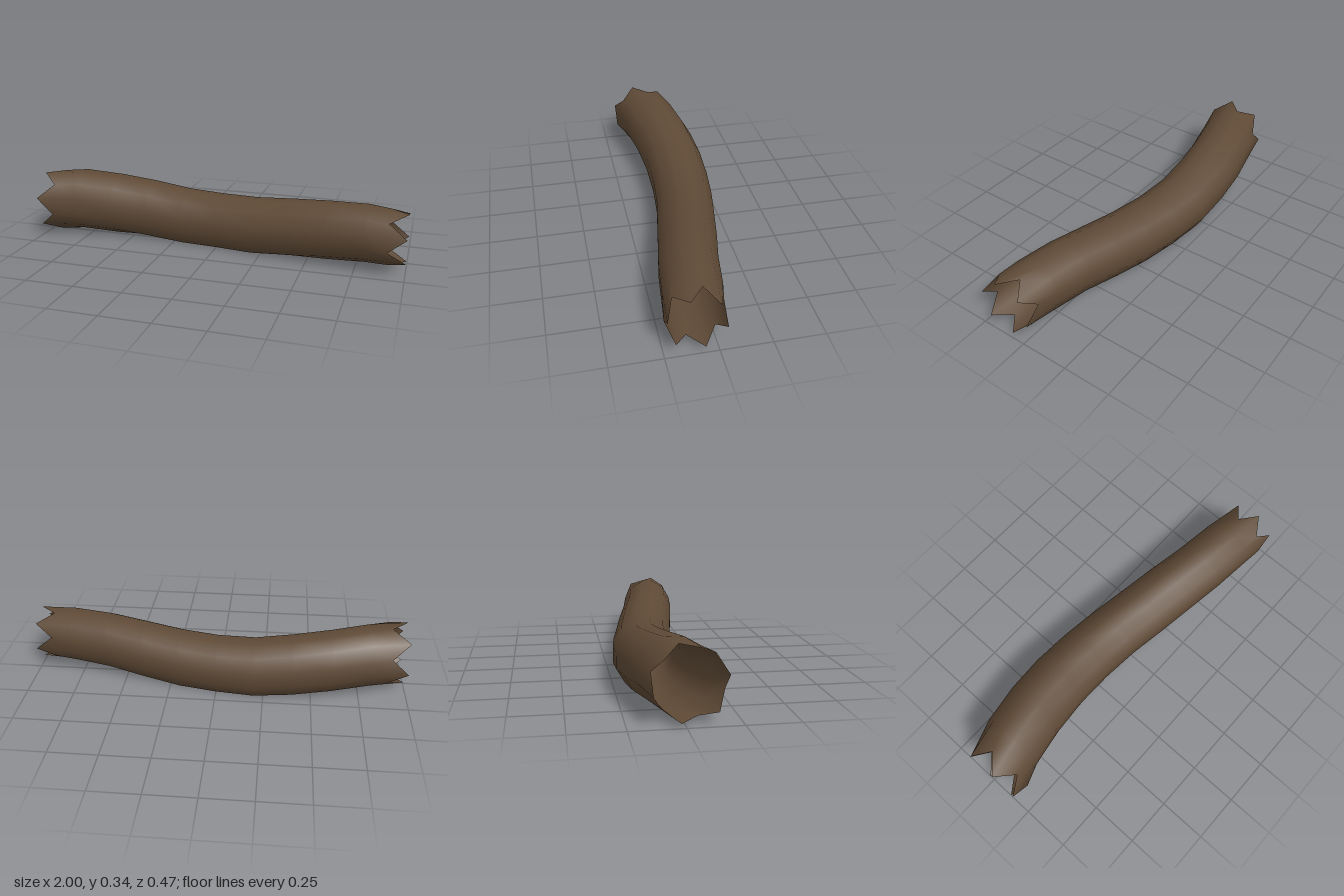
import * as THREE from 'three';

const SIDES = 12;
const NOTCH = 0.09;

// Stations along the log: x, top height, centre z, radius
const STATIONS = [
  [-1.0, 0.342, 0.02, 0.166],
  [-0.8, 0.345, -0.022, 0.167],
  [-0.6, 0.322, -0.06, 0.166],
  [-0.4, 0.295, -0.078, 0.164],
  [-0.2, 0.266, -0.077, 0.161],
  [0.0, 0.26, -0.057, 0.158],
  [0.2, 0.266, -0.022, 0.157],
  [0.4, 0.287, 0.015, 0.155],
  [0.6, 0.306, 0.055, 0.15],
  [0.8, 0.315, 0.082, 0.146],
  [1.0, 0.306, 0.1, 0.14],
];

// Open bark shell: 12-sided rings, flattened on the ground, with toothed ends
function barkGeometry() {
  const apothem = Math.cos(Math.PI / SIDES);
  const positions = [];
  const index = [];
  STATIONS.forEach(([x, top, cz, r], i) => {
    const isEnd = i === 0 || i === STATIONS.length - 1;
    const cy = top - r * apothem;
    for (let j = 0; j < SIDES; j++) {
      const a = ((j + 0.5) / SIDES) * Math.PI * 2;
      // every second corner of an end ring is pulled in to make a notch
      const px = isEnd && j % 2 ? x - Math.sign(x) * NOTCH : x;
      positions.push(px, Math.max(0, cy + r * Math.sin(a)), cz + r * Math.cos(a));
    }
  });
  for (let i = 0; i < STATIONS.length - 1; i++) {
    for (let j = 0; j < SIDES; j++) {
      const k = (j + 1) % SIDES;
      const a = i * SIDES + j, b = i * SIDES + k;
      const c = a + SIDES, d = b + SIDES;
      index.push(a, c, b, b, c, d);
    }
  }
  const geometry = new THREE.BufferGeometry();
  geometry.setAttribute('position', new THREE.Float32BufferAttribute(positions, 3));
  geometry.setIndex(index);
  geometry.computeVertexNormals();
  return geometry;
}

export function createModel() {
  const group = new THREE.Group();
  group.name = 'hollowLog';
  const bark = new THREE.MeshStandardMaterial({ color: 0x5f4a36, side: THREE.DoubleSide });
  bark.name = 'brown bark';
  const shell = new THREE.Mesh(barkGeometry(), bark);
  shell.name = 'barkShell';
  group.add(shell);
  return group;
}
